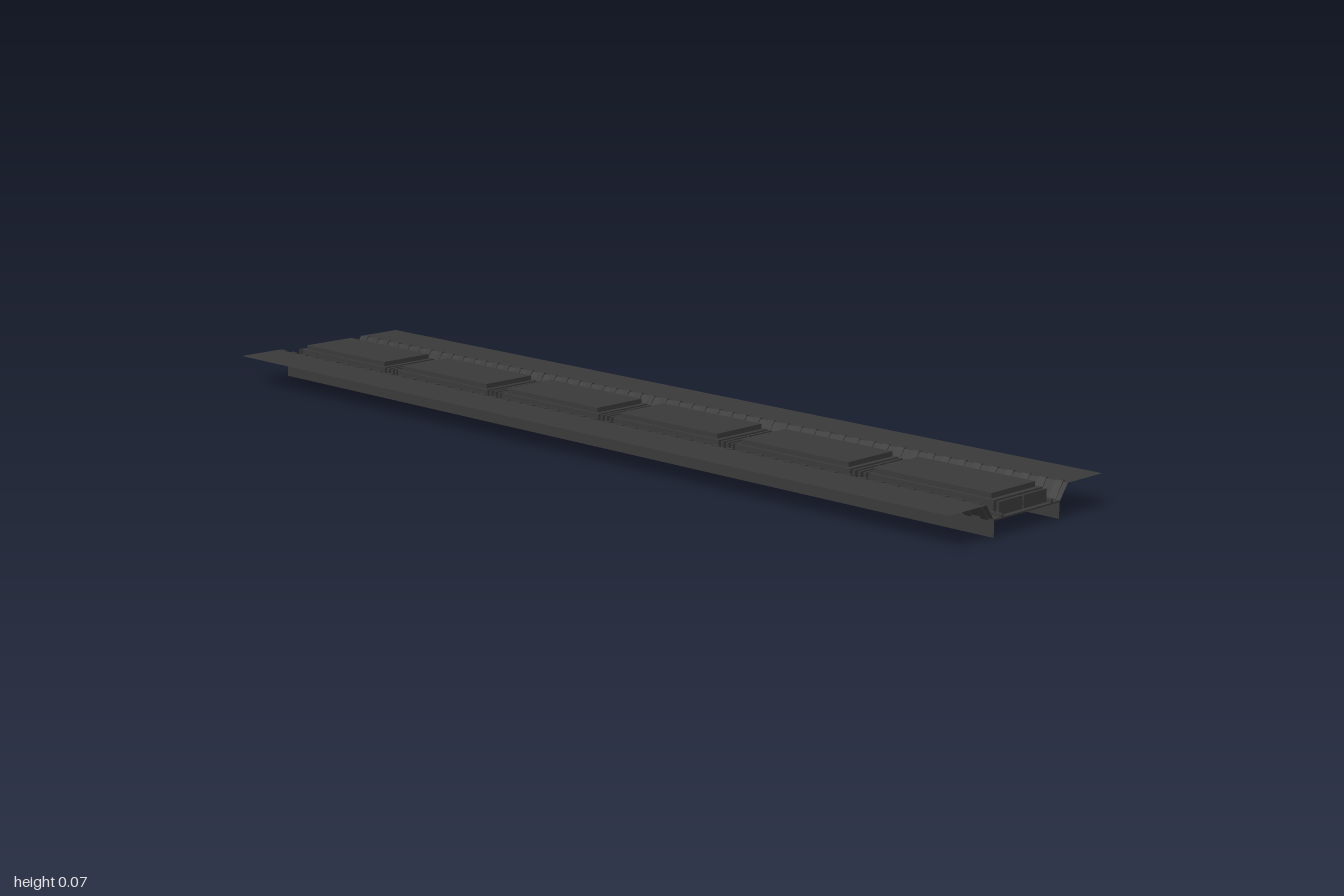
import * as THREE from 'three';
import { mergeGeometries } from 'three/addons/utils/BufferGeometryUtils.js';

const material = new THREE.MeshStandardMaterial({
  color: 0x3a3a3a, flatShading: true, side: THREE.DoubleSide,
});
const PITCH = 1 / 3;
const FLOOR = 0.034;

function add(parent, name, geometry) {
  const mesh = new THREE.Mesh(geometry, material);
  mesh.name = name;
  parent.add(mesh);
  return mesh;
}

function box(w, h, d, x, y, z) {
  return new THREE.BoxGeometry(w, h, d).translate(x, y, z);
}

// Thin sheet running the full length, following a [z, y] profile.
function sheet(profile) {
  const pos = [], index = [];
  profile.forEach(([z, y], i) => {
    pos.push(-1, y, z, 1, y, z);
    if (i) {
      const a = 2 * i - 2;
      index.push(a, a + 2, a + 1, a + 1, a + 2, a + 3);
    }
  });
  return finish(pos, index);
}

// Hollow rectangular shell, open below, from [halfX, halfZ, y] rings.
function shell(rings) {
  const pos = [], index = [];
  rings.forEach(([x, z, y], r) => {
    pos.push(-x, y, z, x, y, z, x, y, -z, -x, y, -z);
    if (!r) return;
    for (let i = 0; i < 4; i++) {
      const a = (r - 1) * 4 + i, b = (r - 1) * 4 + (i + 1) % 4;
      index.push(a, b, b + 4, a, b + 4, a + 4);
    }
  });
  const t = (rings.length - 1) * 4;
  index.push(t, t + 1, t + 2, t, t + 2, t + 3);
  return finish(pos, index);
}

function finish(pos, index) {
  const g = new THREE.BufferGeometry();
  g.setAttribute('position', new THREE.Float32BufferAttribute(pos, 3));
  g.setIndex(index);
  const flat = g.toNonIndexed();
  flat.computeVertexNormals();
  return flat;
}

// Bent strap lying on the sloping side, from lip to floor.
function strap(x) {
  const shape = new THREE.Shape([
    [0.094, 0.031], [0.099, 0.031], [0.12, 0.061], [0.123, 0.061],
    [0.123, 0.065], [0.117, 0.065], [0.097, 0.035], [0.094, 0.035],
  ].map(([z, y]) => new THREE.Vector2(z, y)));
  const width = 0.016;
  return new THREE.ExtrudeGeometry(shape, { depth: width, bevelEnabled: false })
    .rotateY(-Math.PI / 2).translate(x + width / 2, 0, 0);
}

function createSide() {
  const side = new THREE.Group();
  add(side, 'wing', sheet([[0.222, 0.063], [0.118, 0.063]]));
  add(side, 'slopingWall', sheet([[0.118, 0.063], [0.096, 0.033]]));
  add(side, 'skirt', sheet([[0.095, 0.033], [0.095, 0]]));
  add(side, 'plinthRail', box(2, 0.006, 0.006, 0, 0.037, 0.072));

  const straps = [], count = 54;
  for (let i = 0; i < count; i++) straps.push(strap(-1 + (i + 0.5) * 2 / count));
  add(side, 'wallStraps', mergeGeometries(straps));
  return side;
}

function createFloor() {
  const rect = (P, cx, hx, hy) => new P([
    [-hx, -hy], [hx, -hy], [hx, hy], [-hx, hy],
  ].map(([x, y]) => new THREE.Vector2(cx + x, y)));
  const shape = rect(THREE.Shape, 0, 1, 0.097);
  for (let i = 0; i < 6; i++) {
    shape.holes.push(rect(THREE.Path, (i - 2.5) * PITCH, 0.132, 0.058));
  }
  return new THREE.ExtrudeGeometry(shape, { depth: 0.003, bevelEnabled: false })
    .rotateX(-Math.PI / 2).translate(0, FLOOR - 0.003, 0);
}

export function createModel() {
  const model = new THREE.Group();
  model.name = 'panelledTrough';

  // Floor with an opening under every panel
  add(model, 'floor', createFloor());

  // Wings, sloping walls and skirts on both sides
  for (const [name, turn] of [['frontSide', 0], ['backSide', Math.PI]]) {
    const side = createSide();
    side.name = name;
    side.rotation.y = turn;
    model.add(side);
  }

  // Row of stepped panels
  const panel = shell([
    [0.145, 0.07, FLOOR], [0.145, 0.07, 0.06],
    [0.135, 0.063, 0.06], [0.135, 0.063, 0.07],
  ]);
  for (let i = 0; i < 6; i++) {
    add(model, 'panel', panel).position.x = (i - 2.5) * PITCH;
  }

  // Split upright fins in the gaps and at the ends
  const fins = [];
  for (let i = 0; i <= 6; i++) {
    for (const dx of [-0.013, 0, 0.013]) {
      const x = -1 + i * PITCH + dx;
      if (Math.abs(x) > 0.995) continue;
      for (const s of [-1, 1]) {
        fins.push(box(0.006, 0.025, 0.067, x, FLOOR + 0.0125, s * 0.0355));
      }
    }
  }
  add(model, 'gapFins', mergeGeometries(fins));
  return model;
}
